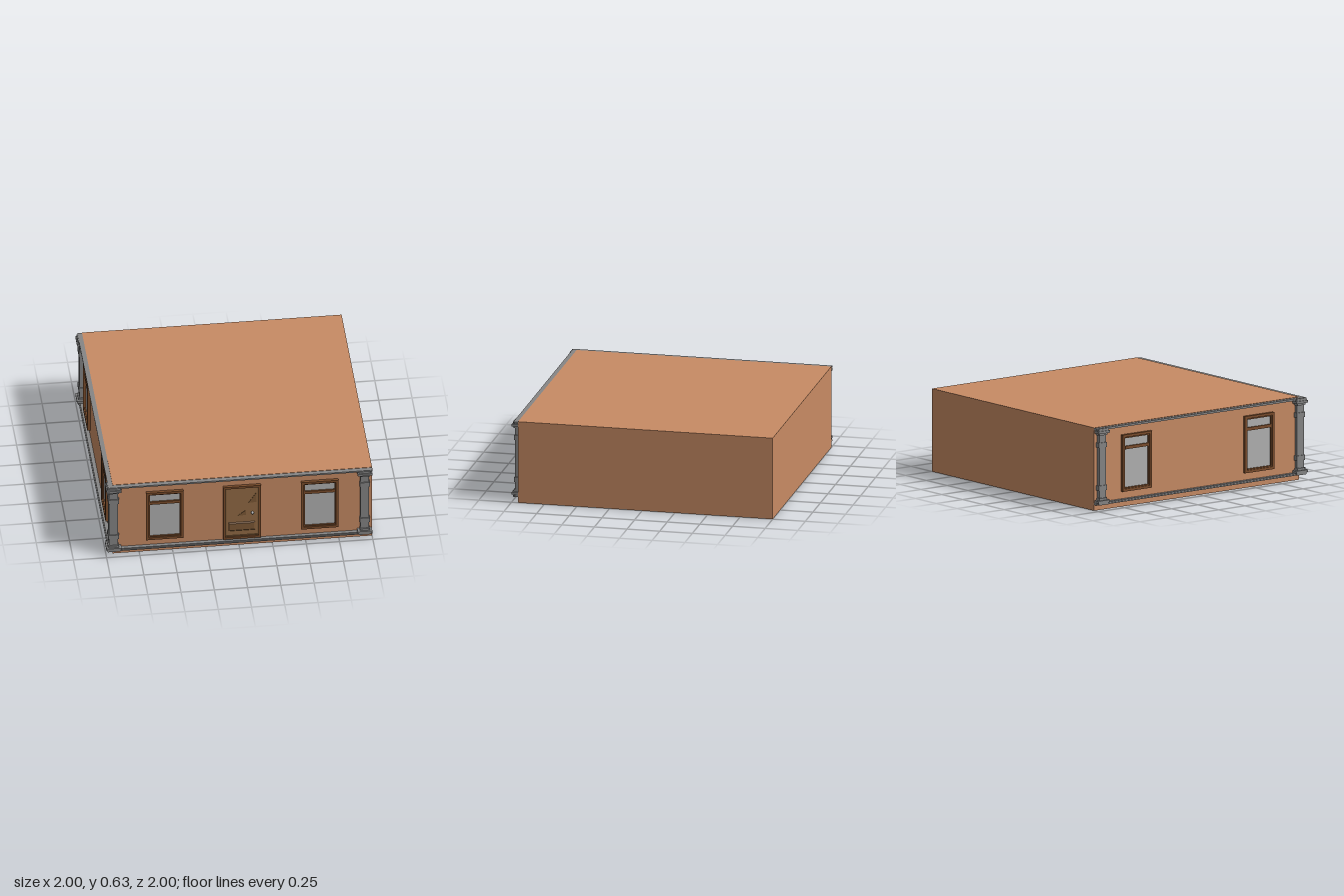
import * as THREE from 'three';

const material = (color, side = THREE.FrontSide) =>
  new THREE.MeshStandardMaterial({ color, side, flatShading: true });
const brick = material(0xc88b64);
const stone = material(0x868686);
const frameWood = material(0x7a4c2b);
const doorWood = material(0x946c45);
const darkWood = material(0x7d5936);
const glass = material(0xb2b2b2);
const metal = material(0xa8a8a8);

const WALL = 0.95; // distance of each decorated wall from the centre

function add(parent, name, geometry, mat) {
  const mesh = new THREE.Mesh(geometry, mat);
  mesh.name = name;
  parent.add(mesh);
  return mesh;
}

// Box given by its limits on each axis
function box(parent, name, mat, x0, x1, y0, y1, z0, z1) {
  const mesh = add(parent, name, new THREE.BoxGeometry(x1 - x0, y1 - y0, z1 - z0), mat);
  mesh.position.set((x0 + x1) / 2, (y0 + y1) / 2, (z0 + z1) / 2);
  return mesh;
}

// Flat rectangular ring standing on the wall
function ring(parent, name, mat, x0, x1, y0, y1, border, depth) {
  const rect = (Type, b) => new Type([
    new THREE.Vector2(x0 + b, y0 + b), new THREE.Vector2(x1 - b, y0 + b),
    new THREE.Vector2(x1 - b, y1 - b), new THREE.Vector2(x0 + b, y1 - b),
  ]);
  const shape = rect(THREE.Shape, 0);
  shape.holes.push(rect(THREE.Path, border));
  const mesh = add(parent, name, new THREE.ExtrudeGeometry(shape, { depth, bevelEnabled: false }), mat);
  mesh.position.z = WALL;
}

function makeWindow(cx) {
  const g = new THREE.Group();
  g.name = 'window';
  ring(g, 'outerFrame', frameWood, -0.14, 0.14, 0.115, 0.547, 0.02, 0.023);
  ring(g, 'innerFrame', frameWood, -0.12, 0.12, 0.135, 0.527, 0.009, 0.014);
  box(g, 'transom', frameWood, -0.111, 0.111, 0.434, 0.458, WALL, WALL + 0.016);
  box(g, 'glass', glass, -0.113, 0.113, 0.14, 0.52, WALL - 0.01, WALL + 0.004);
  g.position.x = cx;
  return g;
}

// Stacked square mouldings of a pilaster: half width, bottom, top, projection
const PILASTER = [
  ['baseFoot', 0.046, 0.043, 0.06, 0.042],
  ['basePlinth', 0.055, 0.06, 0.078, 0.05],
  ['baseCollar', 0.037, 0.078, 0.095, 0.038],
  ['shaft', 0.031, 0.095, 0.575, 0.028],
  ['lowerBand', 0.038, 0.152, 0.19, 0.035],
  ['upperBand', 0.038, 0.478, 0.516, 0.035],
  ['capitalCollar', 0.038, 0.572, 0.588, 0.038],
  ['capitalSlab', 0.055, 0.588, 0.606, 0.05],
  ['capitalTop', 0.046, 0.606, 0.623, 0.042],
];

function makePilaster(cx) {
  const g = new THREE.Group();
  g.name = 'pilaster';
  for (const [name, half, y0, y1, out] of PILASTER)
    box(g, name, stone, -half, half, y0, y1, WALL, WALL + out);
  g.position.x = cx;
  return g;
}

function makeDoor() {
  const g = new THREE.Group();
  g.name = 'door';
  ring(g, 'doorFrame', frameWood, -0.12, 0.163, 0.07, 0.55, 0.018, 0.023);
  ring(g, 'doorStop', darkWood, -0.102, 0.145, 0.088, 0.532, 0.006, 0.012);
  box(g, 'doorLeaf', doorWood, -0.102, 0.145, 0.08, 0.54, WALL - 0.01, WALL + 0.005);

  // Lower panel with sloping edges
  const panel = add(g, 'lowerPanel', new THREE.BoxGeometry(0.21, 0.08, 0.008), darkWood);
  const p = panel.geometry.attributes.position;
  for (let i = 0; i < p.count; i++)
    if (p.getZ(i) > 0) p.setXY(i, p.getX(i) * 0.85, p.getY(i) * 0.75);
  panel.geometry.computeVertexNormals();
  panel.position.set(0.021, 0.173, WALL + 0.008);

  // Small triangular facets on the leaf
  for (const [x, y, w, h] of [[0.072, 0.387, 0.058, 0.088], [-0.008, 0.274, 0.06, 0.046]]) {
    const tri = new THREE.Shape([
      new THREE.Vector2(0, 0), new THREE.Vector2(w, 0), new THREE.Vector2(w, h),
    ]);
    add(g, 'doorFacet', new THREE.ExtrudeGeometry(tri, { depth: 0.004, bevelEnabled: false }), darkWood)
      .position.set(x, y, WALL + 0.004);
  }
  add(g, 'doorKnob', new THREE.SphereGeometry(0.012, 12, 8), metal).position.set(0.1, 0.295, WALL + 0.013);
  return g;
}

// One decorated wall facing +z; the mouldings run from x0 to x1
function makeFacade(name, x0, x1, windows) {
  const g = new THREE.Group();
  g.name = name;
  for (const [label, y0, y1] of [['lowerMoulding', 0.043, 0.06], ['upperMoulding', 0.61, 0.627]]) {
    const mid = (y0 + y1) / 2;
    box(g, label, stone, x0, x1, y0, mid, WALL, WALL + (y0 < 0.3 ? 0.035 : 0.028));
    box(g, label, stone, x0, x1, mid, y1, WALL, WALL + (y0 < 0.3 ? 0.028 : 0.035));
  }
  for (const x of [-0.942, 0.942]) g.add(makePilaster(x));
  for (const x of windows) g.add(makeWindow(x));
  return g;
}

export function createModel() {
  const model = new THREE.Group();
  model.name = 'building';
  box(model, 'walls', brick, -WALL, 1, 0, 0.63, -1, WALL);

  const front = makeFacade('frontFacade', -0.985, 1, [-0.56, 0.605]);
  front.add(makeDoor());
  model.add(front);

  // Same wall treatment turned to face -x, without a door
  const side = makeFacade('sideFacade', -1, 0.95, [-0.605, 0.56]);
  side.rotation.y = -Math.PI / 2;
  model.add(side);
  return model;
}
